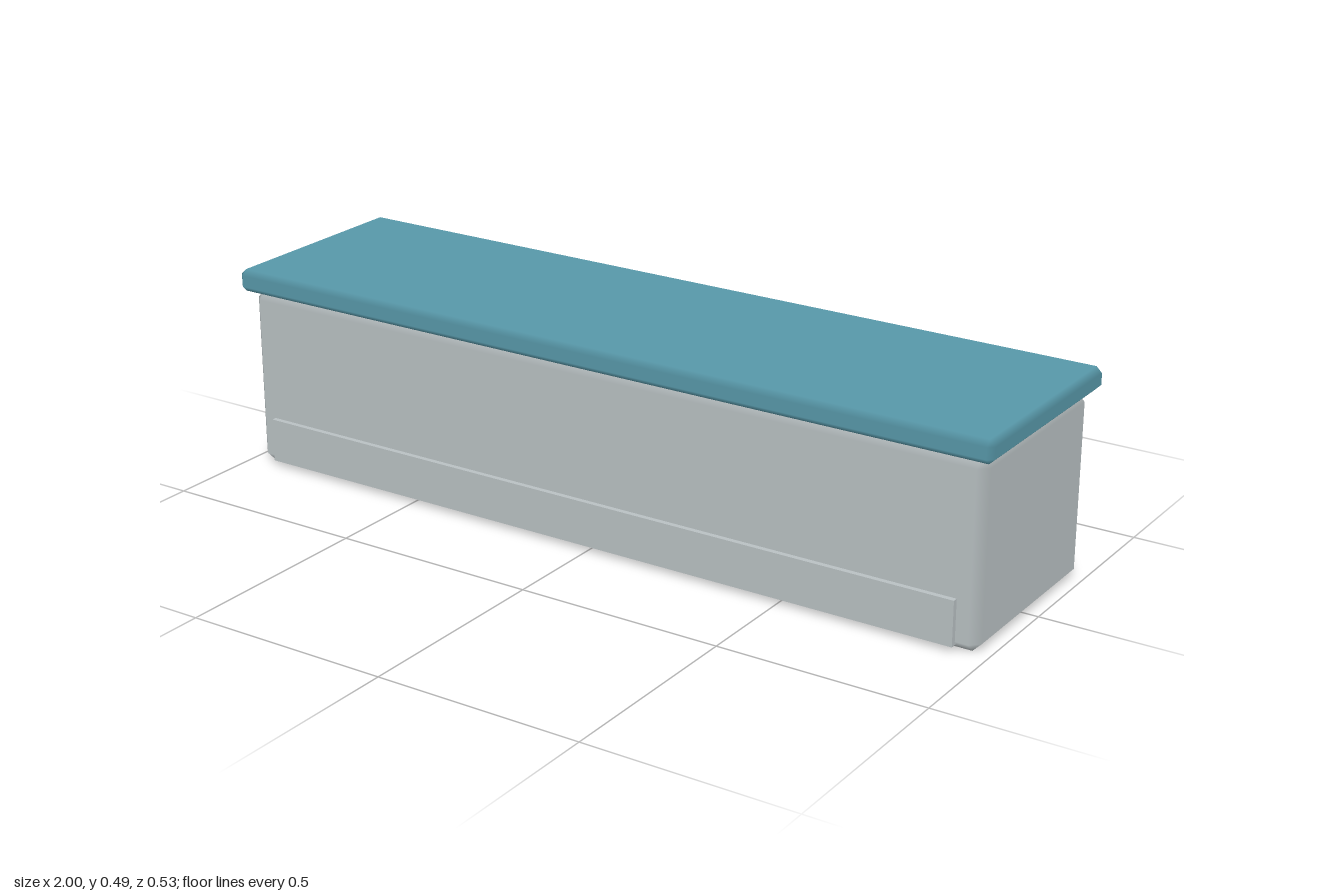
import * as THREE from 'three';
import { ConvexGeometry } from 'three/addons/geometries/ConvexGeometry.js';

// Box with bevelled edges; normals follow the main faces, so the bevels blend softly.
function bevelledBox(w, h, d, bevel) {
  const half = [w / 2, h / 2, d / 2];
  const points = [];
  for (let axis = 0; axis < 3; axis++) {
    for (const sx of [-1, 1]) for (const sy of [-1, 1]) for (const sz of [-1, 1]) {
      const p = [sx, sy, sz].map((s, i) => s * (half[i] - (i === axis ? 0 : bevel)));
      points.push(new THREE.Vector3(...p));
    }
  }
  const geometry = new ConvexGeometry(points);
  const pos = geometry.attributes.position;
  const normal = geometry.attributes.normal;
  for (let i = 0; i < pos.count; i++) {
    const p = [pos.getX(i), pos.getY(i), pos.getZ(i)];
    const n = p.map((v, k) => (Math.abs(v) > half[k] - bevel / 2 ? Math.sign(v) : 0));
    normal.setXYZ(i, ...n);
  }
  return geometry;
}

export function createModel() {
  const grey = new THREE.MeshStandardMaterial({ color: 0xb8c0c2 });
  grey.name = 'light grey';
  const teal = new THREE.MeshStandardMaterial({ color: 0x5797a8 });
  teal.name = 'teal';

  const model = new THREE.Group();
  model.name = 'counter';
  const add = (name, geometry, material, y, z = 0) => {
    const mesh = new THREE.Mesh(geometry, material);
    mesh.name = name;
    mesh.position.set(0, y, z);
    model.add(mesh);
  };

  // Cabinet body
  add('body', bevelledBox(1.954, 0.437, 0.49, 0.021), grey, 0.2185);
  // Overhanging slab on top
  add('worktop', bevelledBox(2, 0.054, 0.534, 0.0135), teal, 0.464);
  // Kick plate along the foot of the front
  add('kickPlate', new THREE.BoxGeometry(1.85, 0.107, 0.024), grey, 0.0665, 0.2455);

  return model;
}
